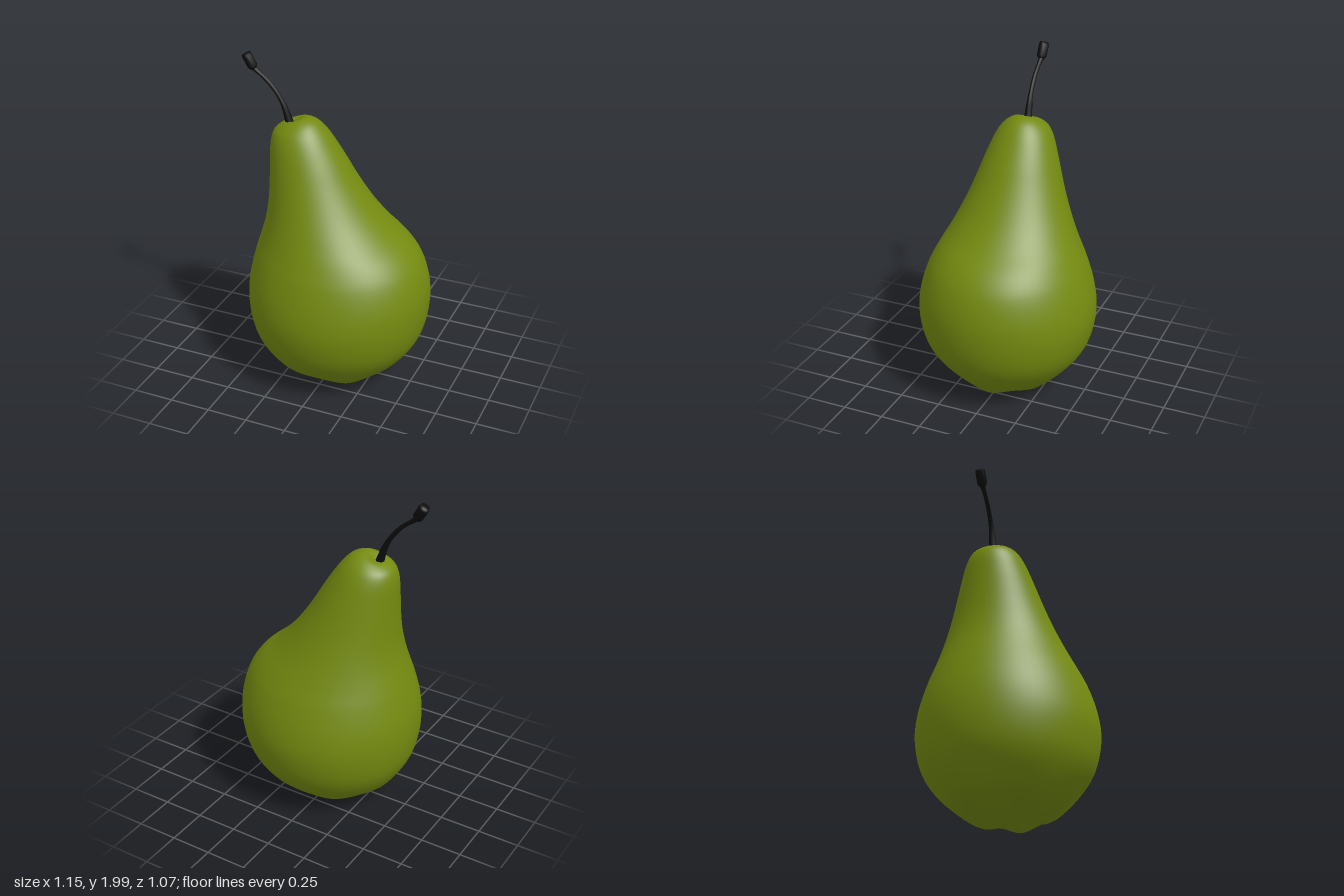
import * as THREE from 'three';

const V = (x, y, z) => new THREE.Vector3(x, y, z);

// Tilted fruit sections, bottom to top: left x, left y, right x, right y, half depth
const SECTIONS = [
  [0.02, 0.075, 0.03, 0.075, 0.005],
  [-0.05, 0.045, 0.10, 0.045, 0.07],
  [-0.15, 0.006, 0.24, 0.015, 0.18],
  [-0.24, 0.035, 0.31, 0.04, 0.265],
  [-0.35, 0.1, 0.375, 0.1, 0.345],
  [-0.43, 0.2, 0.46, 0.2, 0.43],
  [-0.485, 0.3, 0.525, 0.3, 0.49],
  [-0.513, 0.4, 0.56, 0.4, 0.521],
  [-0.525, 0.52, 0.577, 0.52, 0.534],
  [-0.518, 0.65, 0.573, 0.65, 0.516],
  [-0.485, 0.8, 0.53, 0.8, 0.468],
  [-0.455, 0.9, 0.46, 0.9, 0.42],
  [-0.425, 1.0, 0.345, 1.0, 0.37],
  [-0.406, 1.1, 0.25, 1.1, 0.325],
  [-0.398, 1.2, 0.175, 1.2, 0.285],
  [-0.396, 1.3, 0.11, 1.3, 0.25],
  [-0.396, 1.4, 0.045, 1.41, 0.215],
  [-0.392, 1.5, -0.03, 1.525, 0.175],
  [-0.375, 1.557, -0.075, 1.583, 0.142],
  [-0.338, 1.59, -0.125, 1.627, 0.1],
  [-0.31, 1.602, -0.185, 1.644, 0.062],
  [-0.29, 1.603, -0.24, 1.62, 0.025],
  [-0.275, 1.602, -0.27, 1.602, 0.004],
];

// Smooth loft through the sections, with soft lobes round the base
function fruitGeometry(rows = 88, cols = 64) {
  const left = new THREE.CatmullRomCurve3(SECTIONS.map(s => V(s[0], s[1], s[4])));
  const right = new THREE.CatmullRomCurve3(SECTIONS.map(s => V(s[2], s[3], s[4])));
  const pos = [], index = [];
  for (let i = 0; i <= rows; i++) {
    const l = left.getPoint(i / rows), r = right.getPoint(i / rows);
    const depth = (l.z + r.z) / 2;
    const low = Math.max(0, 1 - l.y / 0.3) ** 2 * Math.min(1, depth / 0.15);
    for (let j = 0; j < cols; j++) {
      const a = (j / cols) * Math.PI * 2;
      const k = (1 + Math.cos(a)) / 2;
      const groove = 0.014 * (1 - Math.cos(6 * a)) + 0.008 * (1 - Math.cos(2 * a));
      pos.push(l.x + (r.x - l.x) * k, l.y + (r.y - l.y) * k + low * groove, depth * Math.sin(a));
      if (i < rows) {
        const n = (j + 1) % cols, p = i * cols;
        index.push(p + j, p + cols + j, p + n, p + n, p + cols + j, p + cols + n);
      }
    }
  }
  // Close both poles
  for (let j = 1; j < cols - 1; j++) {
    const t = rows * cols;
    index.push(0, j, j + 1, t, t + j + 1, t + j);
  }
  const g = new THREE.BufferGeometry();
  g.setAttribute('position', new THREE.Float32BufferAttribute(pos, 3));
  g.setIndex(index);
  g.computeVertexNormals();
  return g;
}

// Tube whose radius follows a list of [position along path, radius]
function taperedTube(points, radii, segments, sides) {
  const curve = new THREE.CatmullRomCurve3(points);
  const g = new THREE.TubeGeometry(curve, segments, 1, sides);
  const p = g.attributes.position, v = V();
  for (let i = 0; i < p.count; i++) {
    const t = Math.floor(i / (sides + 1)) / segments;
    const k = Math.max(1, radii.findIndex(r => r[0] >= t - 1e-6));
    const [t0, r0] = radii[k - 1], [t1, r1] = radii[k];
    const c = curve.getPointAt(t);
    v.fromBufferAttribute(p, i).sub(c);
    v.multiplyScalar(THREE.MathUtils.mapLinear(t, t0, t1, r0, r1)).add(c);
    p.setXYZ(i, v.x, v.y, v.z);
  }
  g.computeVertexNormals();
  return g;
}

export function createModel() {
  const model = new THREE.Group();
  model.name = 'pear';
  const add = (name, geometry, material, parent = model) => {
    const mesh = new THREE.Mesh(geometry, material);
    mesh.name = name;
    parent.add(mesh);
    return mesh;
  };
  const skin = new THREE.MeshStandardMaterial({ color: 0x748a10 });
  const wood = new THREE.MeshStandardMaterial({ color: 0x0c0c0d });

  add('fruit', fruitGeometry(), skin);

  // Curved stalk, flared where it meets the fruit
  const stem = new THREE.Group();
  stem.name = 'stem';
  model.add(stem);
  add('stalk', taperedTube(
    [V(-0.28, 1.585, 0.006), V(-0.325, 1.715, 0.01), V(-0.40, 1.82, 0.013), V(-0.505, 1.905, 0.014)],
    [[0, 0.026], [0.15, 0.021], [0.4, 0.014], [0.85, 0.012], [1, 0.016]], 20, 10), wood, stem);

  // Thick woody end with a blunt tip
  const knobProfile = [[0, -0.056], [0.016, -0.056], [0.03, -0.036], [0.031, 0.03], [0.027, 0.047], [0, 0.047]]
    .map(([x, y]) => new THREE.Vector2(x, y));
  const knob = add('stemEnd', new THREE.LatheGeometry(knobProfile, 10), wood, stem);
  knob.position.set(-0.526, 1.943, 0.014);
  knob.quaternion.setFromUnitVectors(V(0, 1, 0), V(-0.5, 0.86, 0).normalize());

  return model;
}
